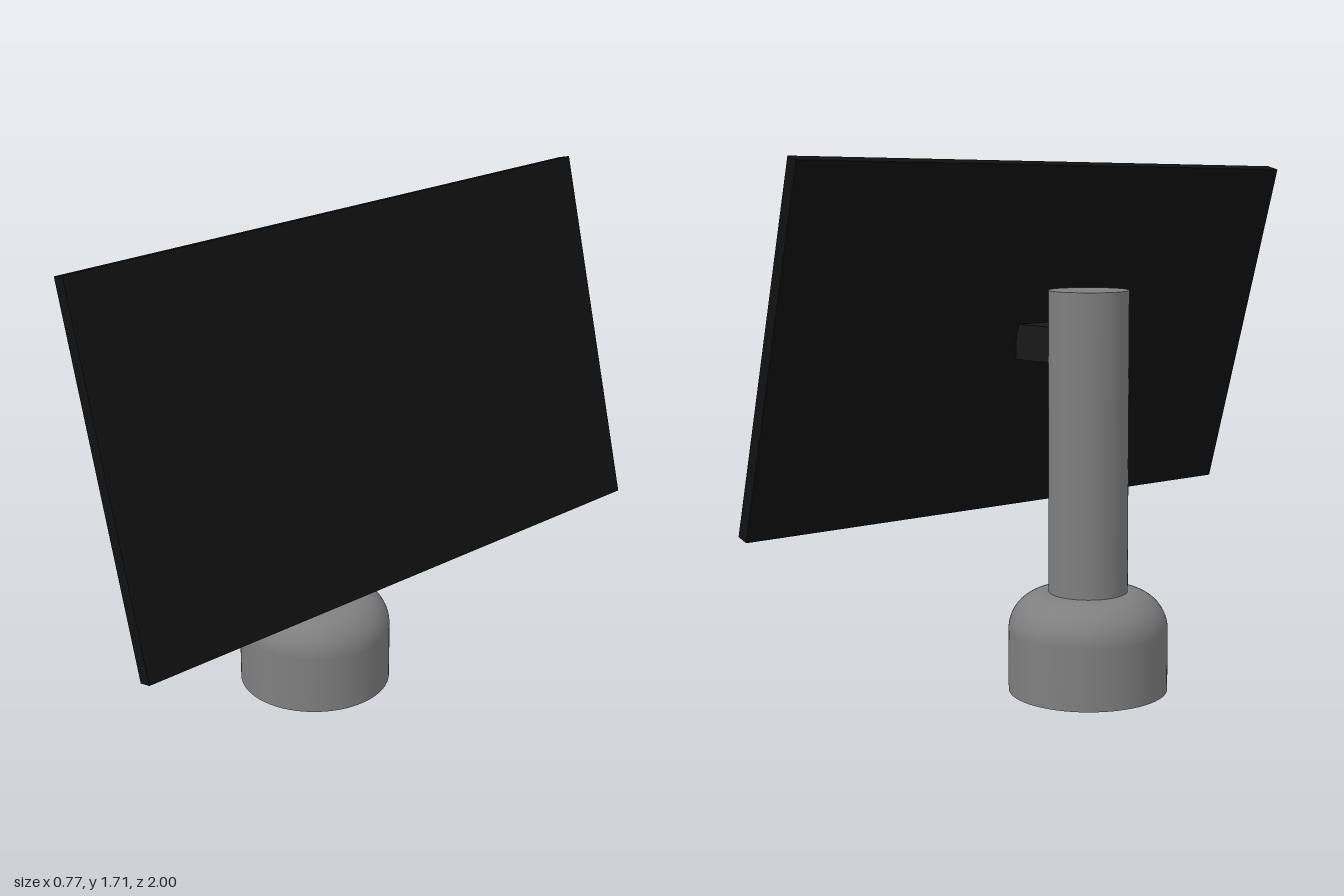
import * as THREE from 'three';

export function createModel() {
  const model = new THREE.Group();
  const mat = (name, color) => Object.assign(new THREE.MeshStandardMaterial({ color }), { name });
  const grey = mat('grey metal', 0x7f7f7f);
  const black = mat('panel black', 0x101010);
  const dark = mat('bracket black', 0x181818);

  const add = (name, geometry, material, x, y, z) => {
    const mesh = new THREE.Mesh(geometry, material);
    mesh.name = name;
    mesh.position.set(x, y, z);
    model.add(mesh);
    return mesh;
  };

  const px = -0.128, pz = -0.015; // axis of the stand
  const R = 0.258, H = 0.325, round = 0.125;

  // Foot wall with a rounded shoulder, running up to the flat top
  const shoulder = [new THREE.Vector2(R, 0)];
  for (let i = 0; i <= 12; i++) {
    const a = (i / 12) * Math.PI / 2;
    shoulder.push(new THREE.Vector2(R - round + round * Math.cos(a), H - round + round * Math.sin(a)));
  }
  shoulder.push(new THREE.Vector2(0, H));
  add('base', new THREE.LatheGeometry(shoulder, 64), grey, px, 0, pz);

  // Flat underside, kept apart for a sharp rim
  add('baseUnderside', new THREE.CircleGeometry(R, 64), grey, px, 0, pz).rotation.x = Math.PI / 2;

  // Upright column
  add('post', new THREE.CylinderGeometry(0.128, 0.128, 0.985, 64), grey, px, 0.8025, pz);

  // Short arm joining post and panel
  add('bracket', new THREE.BoxGeometry(0.22, 0.115, 0.125), dark, 0.035, 1.117, pz);

  // Tilted, slightly turned panel
  const panel = add('panel', new THREE.BoxGeometry(0.046, 1.18, 2), black, 0.165, 1.12, 0);
  panel.rotation.set(0, -0.0465, 0.261, 'ZYX');

  return model;
}
